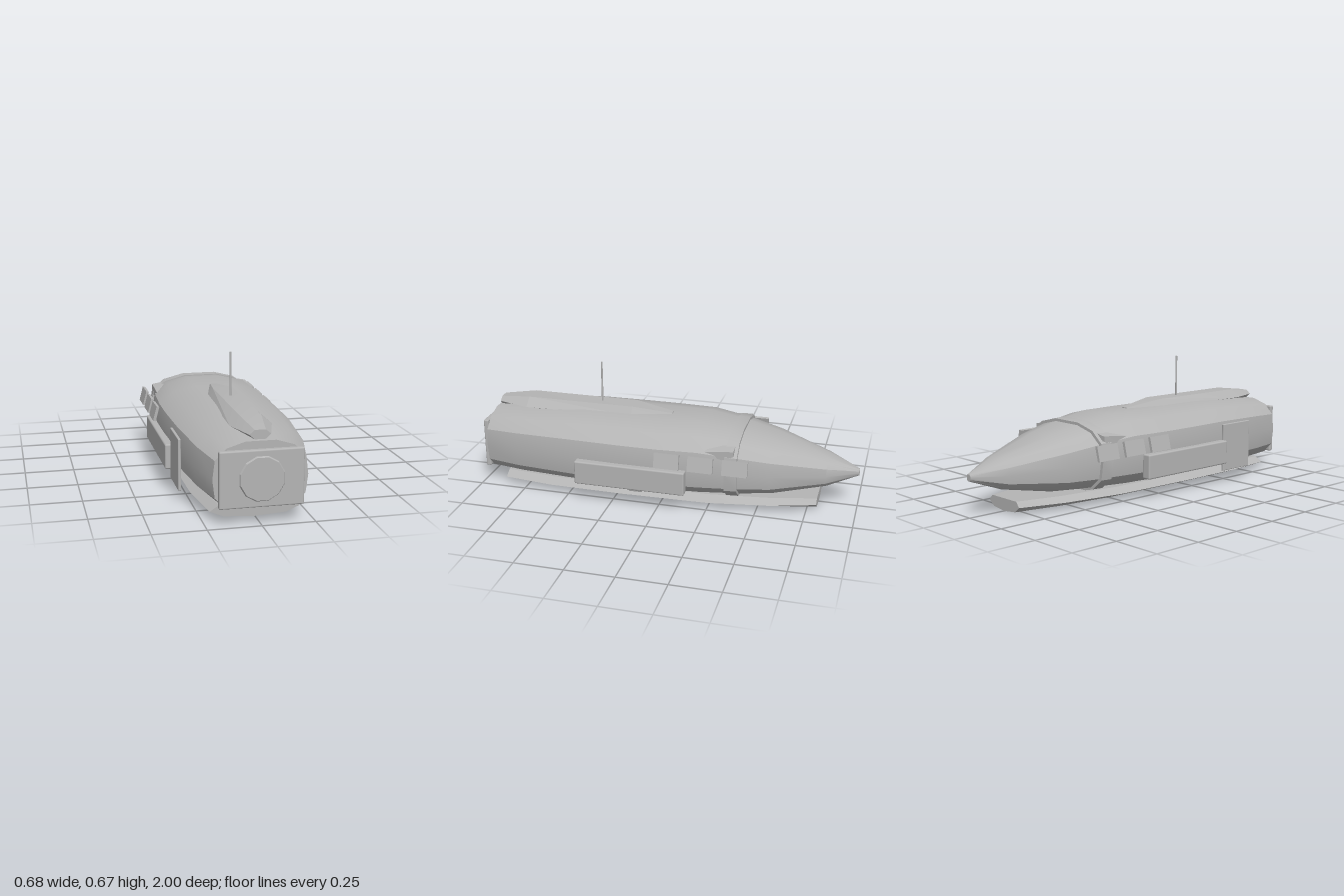
import * as THREE from 'three';
import { toCreasedNormals } from 'three/addons/utils/BufferGeometryUtils.js';
import { RoundedBoxGeometry } from 'three/addons/geometries/RoundedBoxGeometry.js';

// Skins rings of [x, y, z] points (counter-clockwise seen from +z, z rising) and caps both ends
function loft(rings, crease = 0.6) {
  const n = rings[0].length, index = [];
  for (let i = 0; i < rings.length - 1; i++) {
    for (let j = 0; j < n; j++) {
      const a = i * n + j, b = i * n + (j + 1) % n;
      index.push(a, b, b + n, a, b + n, a + n);
    }
  }
  const last = (rings.length - 1) * n;
  for (let j = 1; j < n - 1; j++) {
    index.push(0, j + 1, j, last, last + j, last + j + 1);
  }
  const geo = new THREE.BufferGeometry();
  geo.setAttribute('position', new THREE.Float32BufferAttribute(rings.flat(2), 3));
  geo.setIndex(index);
  return toCreasedNormals(geo, crease);
}

// Fourteen-sided hull section from half width and bottom / top heights
const quarter = [[1, 0], [0.95, 0.52], [0.71, 0.84], [0.32, 1]];
const outline = [
  ...quarter,
  ...quarter.slice().reverse().map(([x, y]) => [-x, y]),
  ...quarter.slice(1).map(([x, y]) => [-x, -y]),
  ...quarter.slice(1).reverse().map(([x, y]) => [x, -y]),
];
const hullRing = ([z, w, y0, y1]) =>
  outline.map(([x, y]) => [x * w, (y0 + y1) / 2 + y * (y1 - y0) / 2, z]);

// Six-sided section: wide points, flat top and flat bottom
const hexRing = (z, wide, yMid, top, yTop, bottom, yBottom) => [
  [wide, yMid, z], [top, yTop, z], [-top, yTop, z],
  [-wide, yMid, z], [-bottom, yBottom, z], [bottom, yBottom, z],
];

export function createModel() {
  const model = new THREE.Group();
  model.name = 'podVehicle';
  const grey = new THREE.MeshStandardMaterial({ color: 0xb4b4b4 });
  grey.name = 'plain grey';

  const add = (name, geo, x = 0, y = 0, z = 0) => {
    const mesh = new THREE.Mesh(geo, grey);
    mesh.name = name;
    mesh.position.set(x, y, z);
    model.add(mesh);
    return mesh;
  };

  // Tapered hull: z, half width, bottom, top
  add('hull', loft([
    [-1, 0.015, 0.178, 0.212],
    [-0.84, 0.11, 0.12, 0.272],
    [-0.57, 0.222, 0.072, 0.35],
    [-0.4, 0.265, 0.06, 0.388],
    [-0.2, 0.295, 0.05, 0.42],
    [0, 0.306, 0.046, 0.42],
    [0.2, 0.306, 0.046, 0.42],
    [0.45, 0.298, 0.046, 0.42],
    [0.78, 0.265, 0.05, 0.404],
    [0.965, 0.22, 0.052, 0.385],
  ].map(hullRing)));

  // Raised band around the shoulder
  add('collar', loft([
    [-0.408, 0.28, 0.05, 0.4],
    [-0.345, 0.284, 0.048, 0.402],
  ].map(hullRing)));

  // Belly ski
  add('bellySki', loft([
    [-0.8, 0.12], [-0.57, 0.19], [-0.25, 0.24], [0.2, 0.25], [0.6, 0.245], [0.87, 0.212],
  ].map(([z, w]) => [
    [w, 0.037, z], [w * 0.8, 0.064, z], [-w * 0.8, 0.064, z], [-w, 0.037, z],
    [-w * 0.7, 0.01, z], [0, 0.001, z], [w * 0.7, 0.01, z],
  ]), 0.3));

  // Spine fairing and aerial
  add('spine', loft([
    hexRing(-0.01, 0.022, 0.415, 0.016, 0.424, 0.012, 0.39),
    hexRing(0.2, 0.08, 0.412, 0.05, 0.452, 0.03, 0.385),
    hexRing(0.78, 0.1, 0.41, 0.05, 0.452, 0.03, 0.385),
    hexRing(0.95, 0.05, 0.41, 0.025, 0.431, 0.025, 0.388),
  ], 0.2));
  add('aerial', new THREE.CylinderGeometry(0.005, 0.005, 0.23, 8), 0, 0.555, 0.38);

  // Rear hatch with round port
  add('hatch', new RoundedBoxGeometry(0.39, 0.265, 0.028, 2, 0.007), 0, 0.218, 0.978);
  const port = toCreasedNormals(new THREE.CylinderGeometry(0.102, 0.11, 0.012, 12), 0.3);
  add('port', port.rotateX(Math.PI / 2).rotateZ(Math.PI / 12), 0, 0.218, 0.994);

  for (const side of [1, -1]) {
    const prefix = side > 0 ? 'left' : 'right';

    // Long side pod
    add(prefix + 'SidePod', new RoundedBoxGeometry(0.05, 0.126, 0.585, 2, 0.008), side * 0.313, 0.172, 0.14);

    // Row of three slanted panels
    for (const z of [-0.055, -0.23, -0.407]) {
      const panel = add(prefix + 'Panel', new THREE.BoxGeometry(0.015, 0.078, 0.13), side * 0.311, 0.28, z);
      panel.rotation.z = side * 0.25;
    }

    // Small wedge fin on the shoulder
    const finRing = (z, x0, x1, yLow, yIn, yTop) => {
      const ring = [[x0, yIn, z], [x1, yLow, z], [x1, yTop - 0.012, z], [x0, yTop, z]];
      return side > 0 ? ring : ring.map(([x, y, w]) => [-x, y, w]).reverse();
    };
    add(prefix + 'ShoulderFin', loft([
      finRing(-0.39, 0.205, 0.268, 0.325, 0.325, 0.362),
      finRing(-0.345, 0.21, 0.268, 0.298, 0.31, 0.36),
      finRing(-0.195, 0.24, 0.264, 0.328, 0.328, 0.342),
    ], 0.2));
  }

  // Thin plate on the right flank, small bracket under the left pod
  add('flankPlate', new RoundedBoxGeometry(0.014, 0.255, 0.21, 2, 0.004), -0.305, 0.192, 0.535);
  const bracket = add('bracket', new THREE.BoxGeometry(0.02, 0.045, 0.07), 0.284, 0.103, 0.117);
  bracket.rotation.z = -0.3;

  return model;
}
